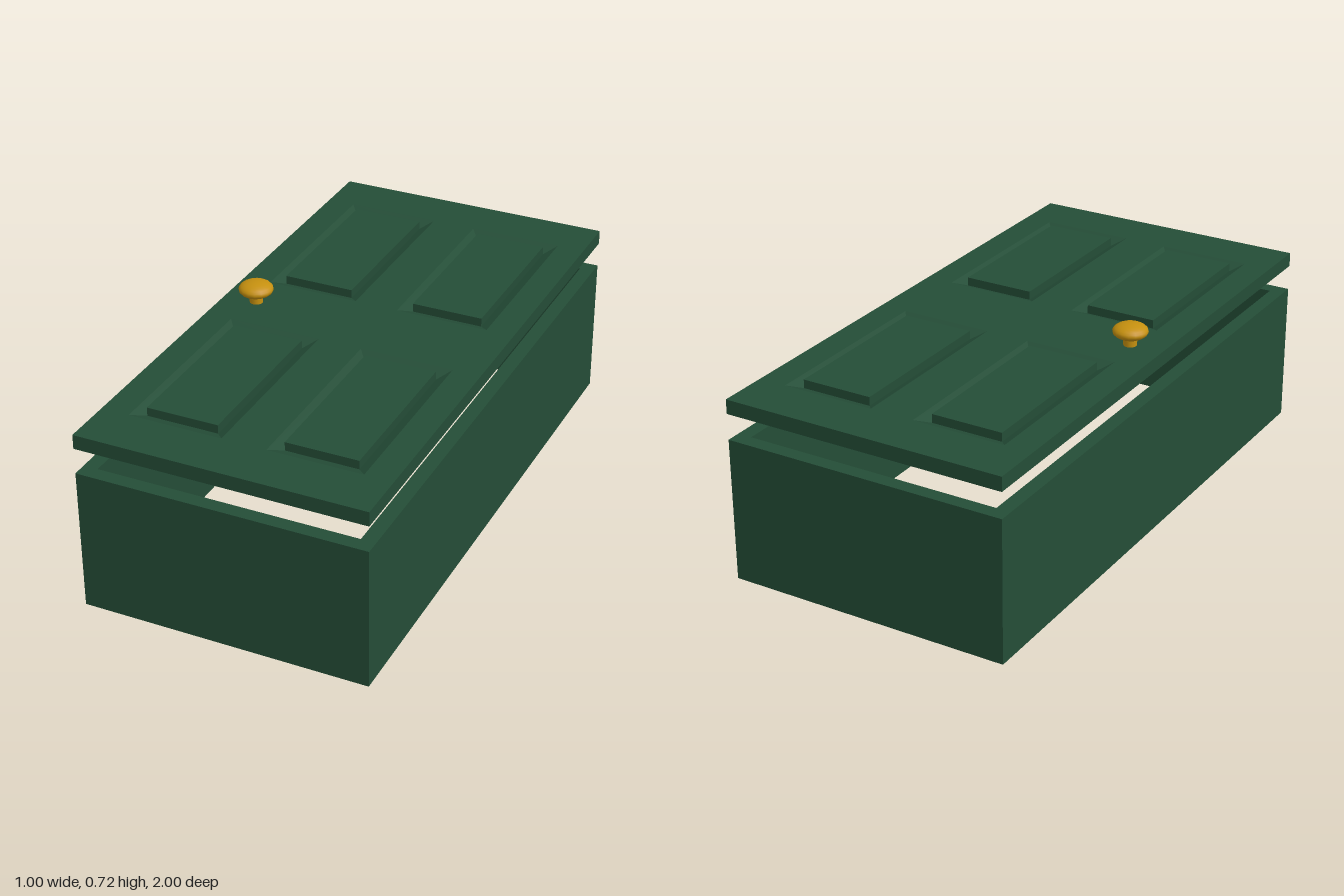
import * as THREE from 'three';

const green = new THREE.MeshStandardMaterial({ color: 0x244d37 });
green.name = 'green paint';
const brass = new THREE.MeshStandardMaterial({ color: 0xc5900f });
brass.name = 'brass';

function add(parent, name, geometry, material, x = 0, y = 0, z = 0) {
  const mesh = new THREE.Mesh(geometry, material);
  mesh.name = name;
  mesh.position.set(x, y, z);
  parent.add(mesh);
  return mesh;
}

const rect = (hw, hd, cx = 0, cz = 0) =>
  [[-1, -1], [1, -1], [1, 1], [-1, 1]].map(([a, b]) => new THREE.Vector2(cx + a * hw, cz + b * hd));

// Rectangular plate lying flat with rectangular holes, its underside at y = 0
function pierced(outer, holes, height) {
  const shape = new THREE.Shape(outer);
  for (const h of holes) shape.holes.push(new THREE.Path(h));
  const g = new THREE.ExtrudeGeometry(shape, { depth: height, bevelEnabled: false });
  return g.rotateX(-Math.PI / 2);
}

// Four sloped faces falling from an outer rectangle to an inner one
function slopedBorder(outer, inner, drop) {
  const pos = [];
  for (let i = 0; i < 4; i++) {
    const j = (i + 1) % 4;
    const a = [outer[i].x, 0, outer[i].y], b = [outer[j].x, 0, outer[j].y];
    const c = [inner[j].x, -drop, inner[j].y], d = [inner[i].x, -drop, inner[i].y];
    pos.push(...a, ...c, ...b, ...a, ...d, ...c);
  }
  const g = new THREE.BufferGeometry();
  g.setAttribute('position', new THREE.Float32BufferAttribute(pos, 3));
  g.computeVertexNormals();
  return g;
}

export function createModel() {
  const model = new THREE.Group();
  model.name = 'door and frame';

  // Open frame: four walls around an empty middle
  add(model, 'frame', pierced(rect(0.5, 1), [rect(0.45, 0.95)], 0.5), green);

  // Door leaf hovering above the frame
  const door = new THREE.Group();
  door.name = 'door';
  model.add(door);
  const top = 0.64, drop = 0.02, bottom = 0.59;
  const centres = [];
  for (const x of [-0.24, 0.24]) for (const z of [-0.485, 0.485]) centres.push([x, z]);
  const holes = centres.map(([x, z]) => rect(0.163, 0.34, x, z));
  const coreHeight = top - drop - bottom;
  add(door, 'doorCore', new THREE.BoxGeometry(1, coreHeight, 2), green, 0, bottom + coreHeight / 2, 0);
  add(door, 'doorFace', pierced(rect(0.5, 1), holes, drop), green, 0, top - drop, 0);

  // Raised panels inside sloped recesses
  const panelHeight = 0.03;
  for (const [x, z] of centres) {
    add(door, 'panelBorder', slopedBorder(rect(0.163, 0.34), rect(0.125, 0.292), drop), green, x, top, z);
    add(door, 'panel', new THREE.BoxGeometry(0.25, panelHeight, 0.584), green, x, top - drop + panelHeight / 2, z);
  }

  // Knobs on both faces joined by a spindle
  const handle = new THREE.Group();
  handle.name = 'handle';
  handle.position.set(-0.382, 0.615, 0);
  door.add(handle);
  add(handle, 'spindle', new THREE.CylinderGeometry(0.023, 0.023, 0.14, 16), brass);
  for (const side of [-1, 1]) {
    const knob = new THREE.SphereGeometry(0.06, 16, 12).scale(1, 0.45, 1);
    add(handle, side > 0 ? 'outerKnob' : 'innerKnob', knob, brass, 0, side * 0.075, 0);
  }
  return model;
}
